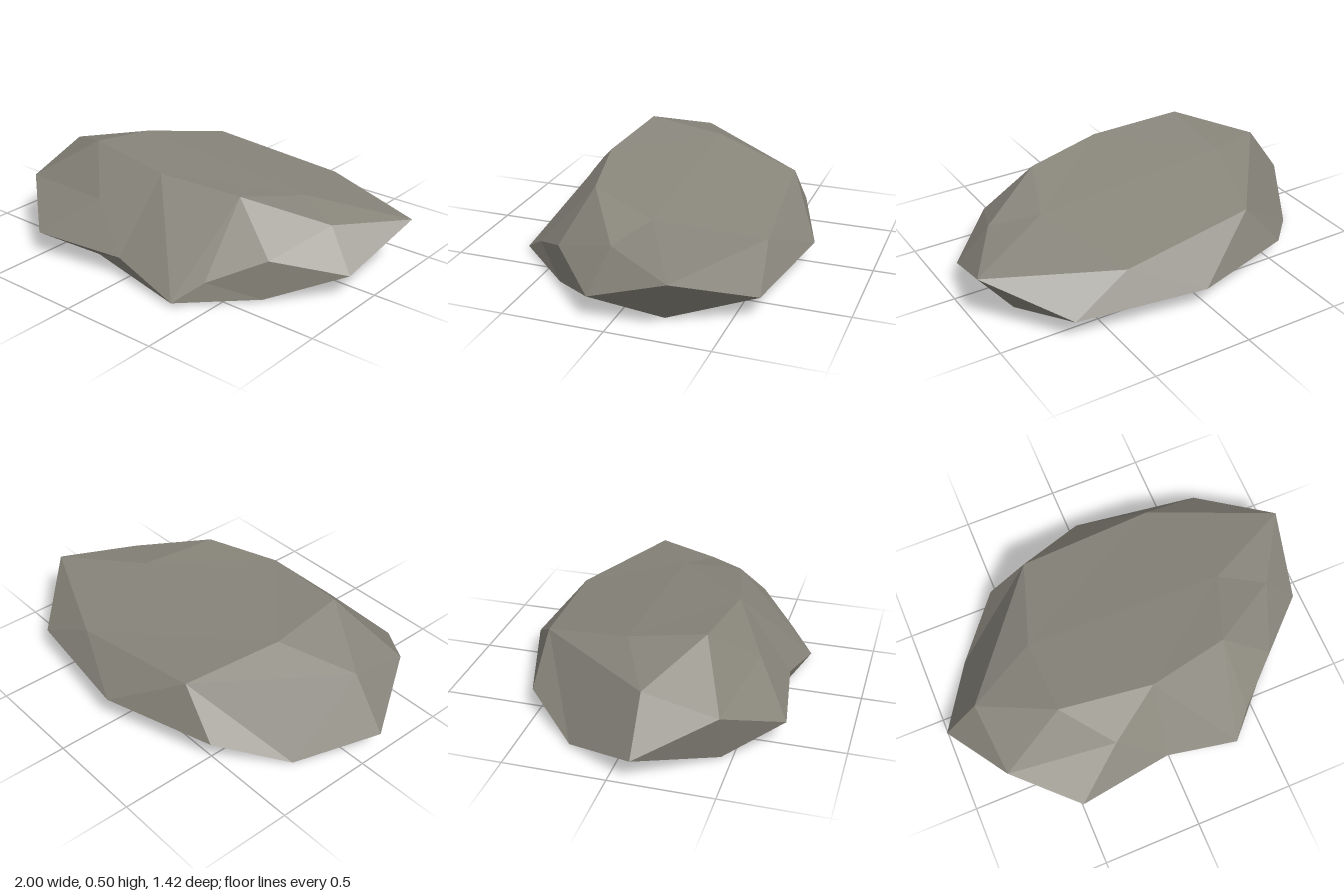
import * as THREE from 'three';

// Cross-section rings, from the right-hand tip round the front, left and back
const tip = [1, 0.28, -0.3];
const bump = [-0.25, 0.31, 0.53];

const underside = [
  [0.79, 0, -0.21], [0.65, 0.01, 0.1], [0.64, 0.01, 0.38], [-0.25, 0.02, 0.55],
  [-0.7, 0.01, 0.45], [-0.36, 0.02, -0.43], [0.29, 0.02, -0.5],
];
const girth = [
  tip, [0.93, 0.12, 0.11], [0.66, 0.21, 0.37], [0.45, 0.11, 0.57], [0.35, 0.02, 0.69],
  [-0.02, 0.11, 0.64], [-0.5, 0.12, 0.71], [-0.79, 0.27, 0.46], [-1, 0.12, 0.11],
  [-0.79, 0.01, -0.25], [-0.53, 0.11, -0.53], [0.03, 0.12, -0.71], [0.68, 0.12, -0.62],
];
const shoulder = [
  tip, [0.78, 0.31, 0.05], [0.42, 0.43, 0.28], [0.01, 0.465, 0.37], bump,
  [-0.46, 0.5, 0.32], [-0.82, 0.37, 0.11], [-0.33, 0.34, -0.51], [0.38, 0.27, -0.57],
];
const rim = shoulder.filter((p) => p !== bump);
const ridge = [[0.55, 0.36, -0.06], [-0.47, 0.44, -0.06]];

// Joins two closed rings; each letter steps along the lower (L) or upper (U) ring
function bridge(out, lower, upper, steps) {
  let i = 0, j = 0;
  for (const step of steps) {
    const a = lower[i % lower.length], b = upper[j % upper.length];
    const c = step === 'L' ? lower[++i % lower.length] : upper[++j % upper.length];
    if (new Set([a, b, c]).size === 3) out.push(...a, ...b, ...c);
  }
}

export function createModel() {
  const stone = new THREE.MeshStandardMaterial({ color: 0x88857b, flatShading: true });
  stone.name = 'greyStone';

  const points = [];
  bridge(points, [[0, 0.01, 0]], underside, 'UUUUUUU'); // flat base
  bridge(points, underside, girth, 'ULLUUULUULUUULUULULU'); // undercut
  bridge(points, girth, shoulder, 'ULLULLULULLUULLULLULLU'); // sloping sides
  points.push(...bump, ...shoulder[3], ...shoulder[5]); // facet above the front bump
  bridge(points, rim, ridge, 'LLLULLLLUL'); // top

  const geometry = new THREE.BufferGeometry();
  geometry.setAttribute('position', new THREE.Float32BufferAttribute(points, 3));
  geometry.computeVertexNormals();

  const rock = new THREE.Mesh(geometry, stone);
  rock.name = 'rock';
  const group = new THREE.Group();
  group.name = 'flatRock';
  group.add(rock);
  return group;
}
